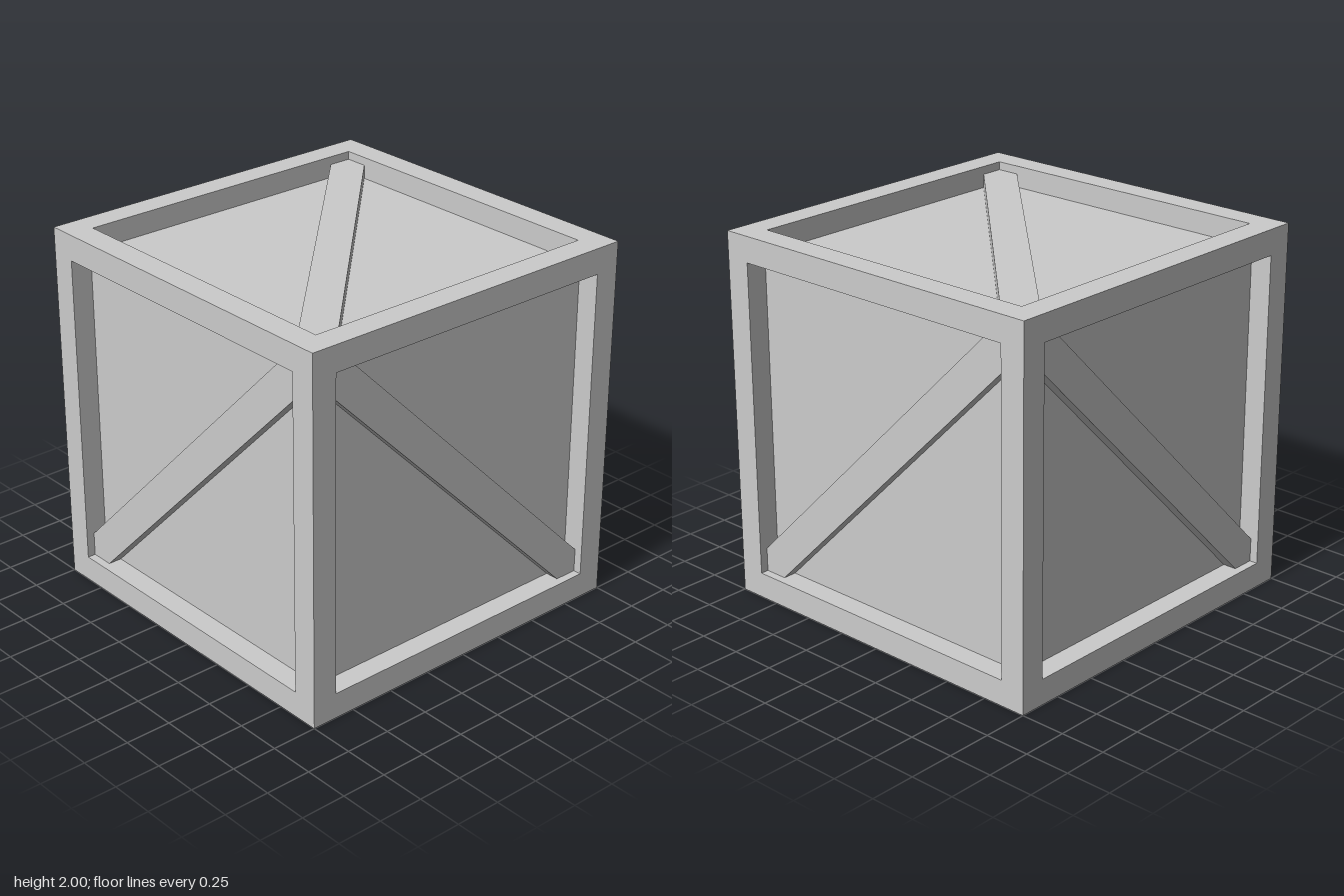
import * as THREE from 'three';

const SIZE = 2;
const BAR = 0.14;        // frame bar thickness
const RECESS = 0.12;     // depth of the panels behind the frame
const BRACE_INSET = 0.045; // depth of the braces behind the frame
const NOTCH = 0.13;      // brace width measured along the opening's edges

export function createModel() {
  const model = new THREE.Group();
  model.name = 'crate';
  const material = new THREE.MeshStandardMaterial({ color: 0xcccccc, flatShading: true });

  const crate = new THREE.Group();
  crate.position.y = SIZE / 2;
  model.add(crate);

  const add = (parent, name, geometry) => {
    const mesh = new THREE.Mesh(geometry, material);
    mesh.name = name;
    parent.add(mesh);
    return mesh;
  };

  // Inner box whose six sides are the recessed panels
  const core = SIZE - 2 * RECESS;
  add(crate, 'panels', new THREE.BoxGeometry(core, core, core));

  // Twelve frame bars: full-height posts, rails fitted between them
  const frame = new THREE.Group();
  frame.name = 'frame';
  crate.add(frame);
  const inner = SIZE - 2 * BAR;
  const c = (SIZE - BAR) / 2;
  const post = new THREE.BoxGeometry(BAR, SIZE, BAR);
  const railX = new THREE.BoxGeometry(inner, BAR, BAR);
  const railZ = new THREE.BoxGeometry(BAR, BAR, inner);
  for (const a of [-c, c]) {
    for (const b of [-c, c]) {
      add(frame, 'cornerPost', post).position.set(a, 0, b);
      add(frame, 'crossRail', railX).position.set(0, a, b);
      add(frame, 'sideRail', railZ).position.set(a, b, 0);
    }
  }

  // Diagonal brace, its ends cut to fit the corners of the opening
  const h = inner / 2;
  const outline = new THREE.Shape([
    [-h, -h], [-h + NOTCH, -h], [h, h - NOTCH],
    [h, h], [h - NOTCH, h], [-h, -h + NOTCH],
  ].map(([x, y]) => new THREE.Vector2(x, y)));
  const brace = new THREE.ExtrudeGeometry(outline, {
    depth: RECESS - BRACE_INSET, bevelEnabled: false,
  });
  brace.translate(0, 0, core / 2);

  // One brace per side; a quarter turn flips the diagonal
  const q = Math.PI / 2;
  const sides = [
    ['frontBrace', 0, 0, 0],
    ['backBrace', 0, 2 * q, 0],
    ['leftBrace', 0, q, q],
    ['rightBrace', 0, -q, q],
    ['topBrace', -q, 0, q],
    ['bottomBrace', q, 0, q],
  ];
  for (const [name, rx, ry, rz] of sides) {
    add(crate, name, brace).rotation.set(rx, ry, rz);
  }

  return model;
}
